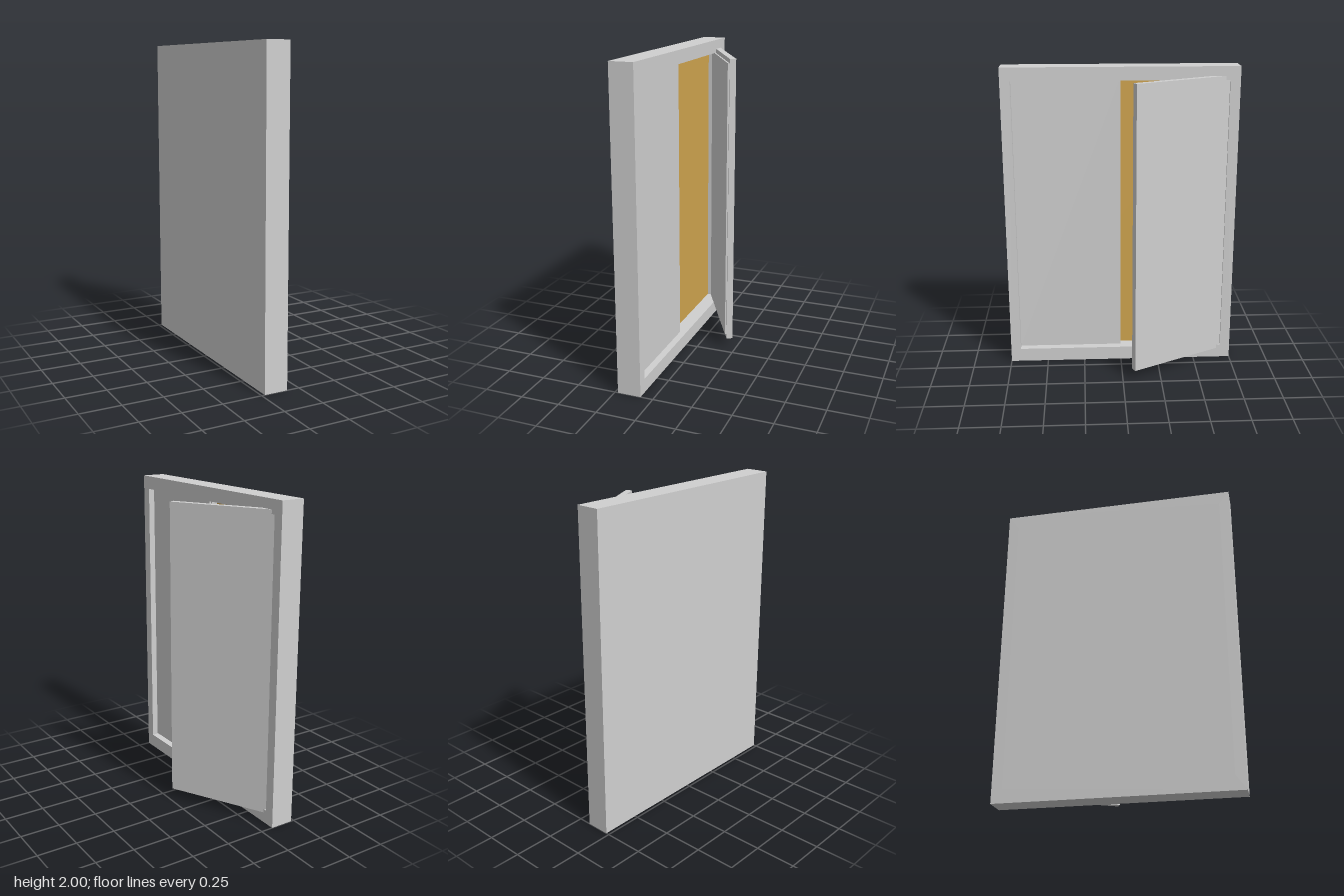
import * as THREE from 'three';

const grey = new THREE.MeshStandardMaterial({ color: 0xd0d0d0 });
grey.name = 'light grey';
const ochre = new THREE.MeshStandardMaterial({ color: 0xd0a54f });
ochre.name = 'ochre';

// Box given by its minimum and maximum on each axis
function slab(name, material, [x0, x1], [y0, y1], [z0, z1]) {
  const mesh = new THREE.Mesh(new THREE.BoxGeometry(x1 - x0, y1 - y0, z1 - z0), material);
  mesh.position.set((x0 + x1) / 2, (y0 + y1) / 2, (z0 + z1) / 2);
  mesh.name = name;
  return mesh;
}

function rectangle(Type, half, y0, y1) {
  return new Type([[-half, y0], [half, y0], [half, y1], [-half, y1]]
    .map(([x, y]) => new THREE.Vector2(x, y)));
}

export function createModel() {
  const model = new THREE.Group();
  model.name = 'cabinet';

  // Casing with a rectangular opening
  const outline = rectangle(THREE.Shape, 0.75, 0, 2);
  outline.holes.push(rectangle(THREE.Path, 0.685, 0.09, 1.915));
  const frame = new THREE.Mesh(
    new THREE.ExtrudeGeometry(outline, { depth: 0.15, bevelEnabled: false }), grey);
  frame.rotation.y = Math.PI / 2;
  frame.position.x = -0.23;
  frame.name = 'frame';
  model.add(frame);

  // Back wall and mounting plate
  model.add(slab('backWall', grey, [-0.23, -0.18], [0.09, 1.915], [-0.685, 0.685]));
  model.add(slab('mountingPlate', ochre, [-0.18, -0.174], [0.09, 1.915], [-0.685, 0.685]));

  // Fixed half: a panel with a slightly smaller raised face
  model.add(slab('fixedPanel', grey, [-0.17, -0.13], [0.09, 1.915], [0, 0.685]));
  model.add(slab('fixedPanelFace', grey, [-0.13, -0.12], [0.095, 1.91], [0.01, 0.685]));

  // Open door, swung about its vertical hinge edge
  const door = new THREE.Group();
  door.name = 'door';
  door.add(slab('doorPanel', grey, [-0.04, 0], [0.065, 1.94], [0, 0.71]));
  door.add(slab('doorInnerFace', grey, [-0.05, -0.04], [0.092, 1.912], [0.012, 0.698]));
  door.position.set(-0.106, 0, -0.708);
  door.rotation.y = 0.485;
  model.add(door);

  return model;
}
